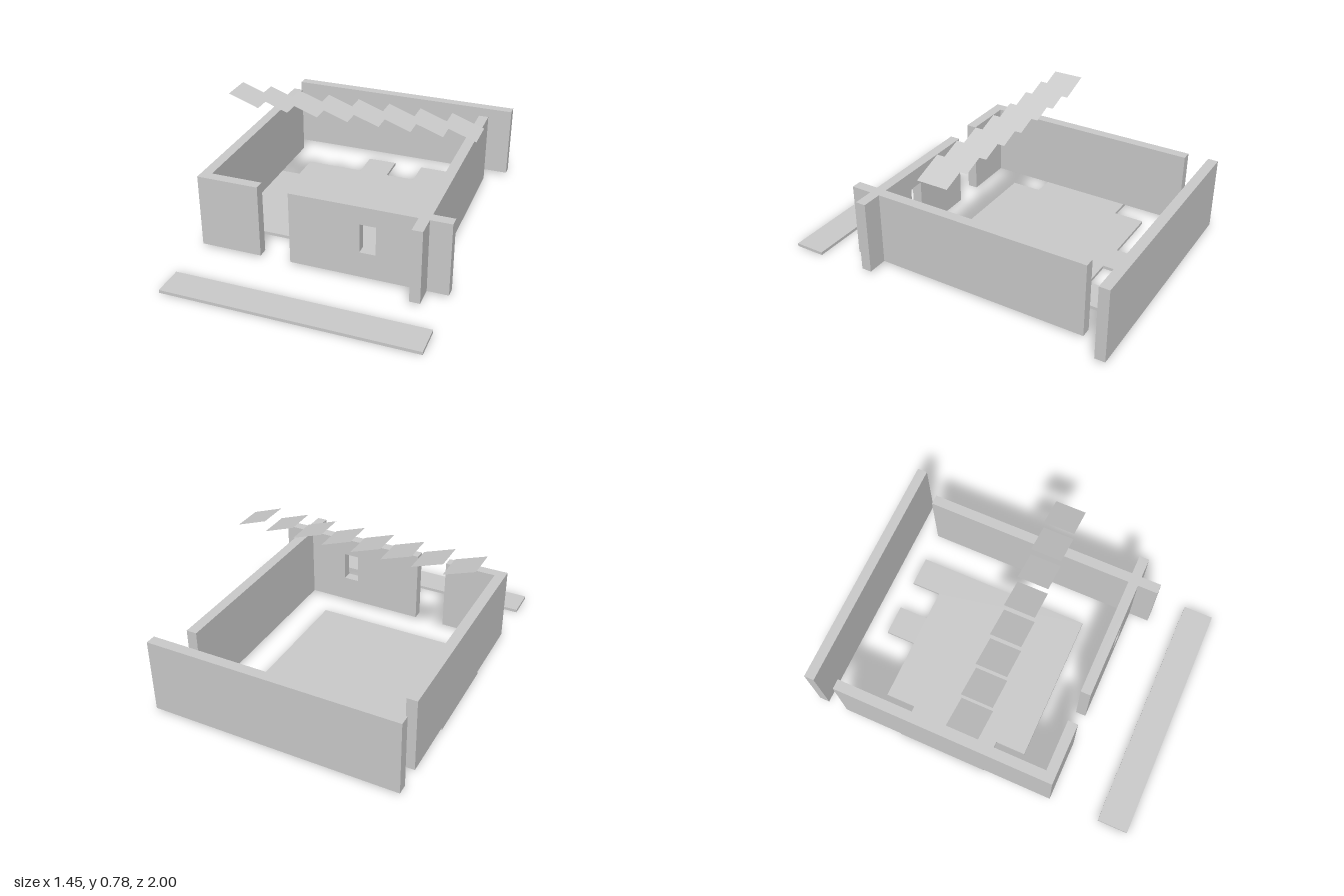
import * as THREE from 'three';

const U = 2 / 11;          // plan grid cell
const BASE = 0.018;        // floor thickness
const TOP = 0.455;         // top of walls
const T = 0.06;            // wall thickness

export function createModel() {
  const model = new THREE.Group();
  const material = new THREE.MeshStandardMaterial({ color: 0xcccccc, flatShading: true });
  const thin = new THREE.MeshStandardMaterial({ color: 0xcccccc, flatShading: true, side: THREE.DoubleSide });

  const add = (name, geometry, mat = material) => {
    const mesh = new THREE.Mesh(geometry, mat);
    mesh.name = name;
    model.add(mesh);
    return mesh;
  };
  const block = (name, x0, x1, y0, y1, z0, z1) =>
    add(name, new THREE.BoxGeometry(x1 - x0, y1 - y0, z1 - z0))
      .position.set((x0 + x1) / 2, (y0 + y1) / 2, (z0 + z1) / 2);
  const wall = (name, x0, x1, z0, z1) => block(name, x0, x1, BASE, TOP, z0, z1);

  // Stepped floor slab, outlined in grid cells (x, z)
  const outline = [
    [-3, 1.5], [2, 1.5], [2, -4.5], [1, -4.5], [1, -3.5], [0, -3.5], [0, -4.5],
    [-1, -4.5], [-1, -3.5], [-3, -3.5], [-3, -2.5], [-4, -2.5], [-4, 0.5], [-3, 0.5],
  ];
  const slab = new THREE.Shape(outline.map(([x, z]) => new THREE.Vector2(x * U, -z * U)));
  add('floor', new THREE.ExtrudeGeometry(slab, { depth: BASE, bevelEnabled: false }).rotateX(-Math.PI / 2));

  // Separate front step
  block('frontStep', -4 * U, 4 * U, 0, BASE, 4.5 * U, 1);

  // Plain walls
  const zf = 2.5 * U;
  wall('backWall', -4 * U, 4 * U, -1, -1 + T);
  wall('rightWall', -4 * U, -4 * U + T, -4.5 * U, zf + T);
  wall('leftWall', 3 * U, 3 * U + T, -4.5 * U, 3.5 * U);
  wall('frontWallRight', -4 * U + T, -2 * U, zf, zf + T);
  wall('frontWallEnd', 3 * U + T, 4 * U, zf, zf + T);

  // Front wall with window opening
  const rect = (Type, x0, x1, y0, y1) => new Type([
    new THREE.Vector2(x0, y0), new THREE.Vector2(x1, y0),
    new THREE.Vector2(x1, y1), new THREE.Vector2(x0, y1),
  ]);
  const front = rect(THREE.Shape, -U, 3 * U, BASE, TOP);
  front.holes.push(rect(THREE.Path, 0.226, 0.318, 0.174, 0.348));
  add('windowWall', new THREE.ExtrudeGeometry(front, { depth: T, bevelEnabled: false }).translate(0, 0, zf));

  // Row of thin tilted roof slats
  const drop = 0.064;
  for (let i = 0; i < 8; i++) {
    const slat = add('roofSlat' + (i + 1),
      new THREE.PlaneGeometry(Math.hypot(U, drop), U).rotateX(-Math.PI / 2), thin);
    slat.position.set((i - 3.5) * U, 0.75, 0);
    slat.rotation.z = -Math.atan2(drop, U);
  }

  return model;
}
